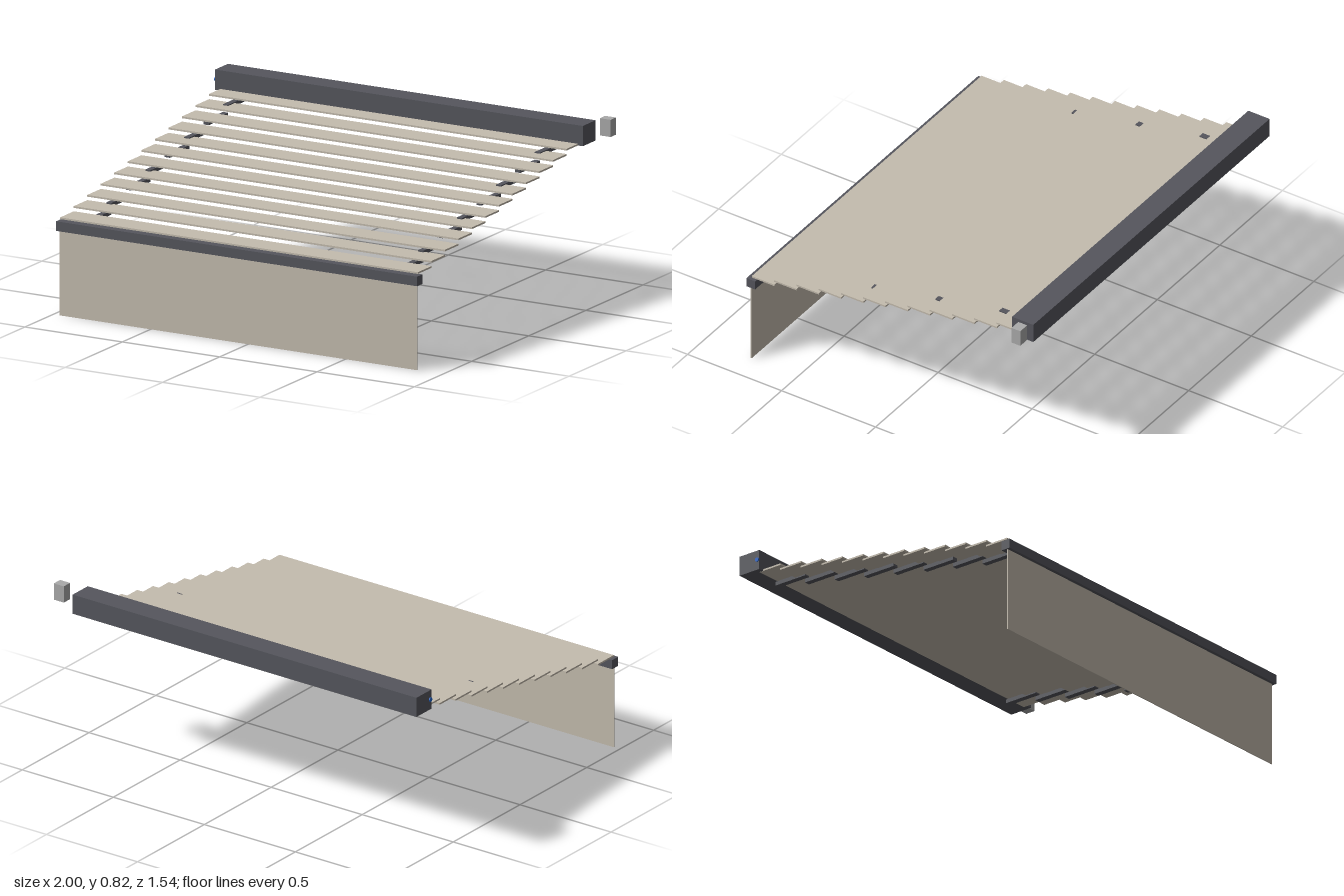
import * as THREE from 'three';

const paint = (color) => new THREE.MeshStandardMaterial({ color });

export function createModel() {
  const model = new THREE.Group();
  const fabric = paint(0xc4bcae);
  const metal = paint(0x55565d);
  const sensorGrey = paint(0xaaaaaa);
  const blue = paint(0x2266cc);

  // Box given by its lower and upper limits on each axis
  function block(name, [x0, x1], [y0, y1], [z0, z1], material) {
    const mesh = new THREE.Mesh(new THREE.BoxGeometry(x1 - x0, y1 - y0, z1 - z0), material);
    mesh.position.set((x0 + x1) / 2, (y0 + y1) / 2, (z0 + z1) / 2);
    mesh.name = name;
    model.add(mesh);
    return mesh;
  }

  // Wall cassette, front rail and hanging valance
  block('cassette', [-0.995, 0.893], [0.702, 0.795], [-0.768, -0.655], metal);
  block('frontRail', [-0.976, 0.878], [0.39, 0.434], [0.722, 0.768], metal);
  block('valance', [-0.968, 0.868], [0, 0.39], [0.747, 0.752], fabric);

  // Stepped canopy strips, rising towards the wall
  for (let i = 0; i < 12; i++) {
    const z = 0.686 - i * 0.1183;
    const y = 0.444 + i * 0.0238;
    block('canopyStrip', [-0.968, 0.868], [y - 0.004, y + 0.004], [z - 0.06, z + 0.06], fabric);
  }

  // Two folding arms made of stepped links
  for (const x of [-0.85, 0.75]) {
    for (let i = 0; i < 8; i++) {
      const z = 0.604 - i * 0.1699;
      const y = 0.435 + i * 0.0352;
      block('armLink', [x - 0.0135, x + 0.0135], [y - 0.009, y + 0.009], [z - 0.085, z + 0.085], metal);
    }
  }

  // Separate wall sensor beside the cassette
  block('wallSensor', [0.942, 0.997], [0.743, 0.822], [-0.768, -0.721], sensorGrey);

  // Small indicator on the cassette's end
  const indicator = new THREE.Mesh(new THREE.CylinderGeometry(0.01, 0.01, 0.012, 16), blue);
  indicator.rotation.z = Math.PI / 2;
  indicator.position.set(-0.994, 0.75, -0.666);
  indicator.name = 'indicator';
  model.add(indicator);

  return model;
}
